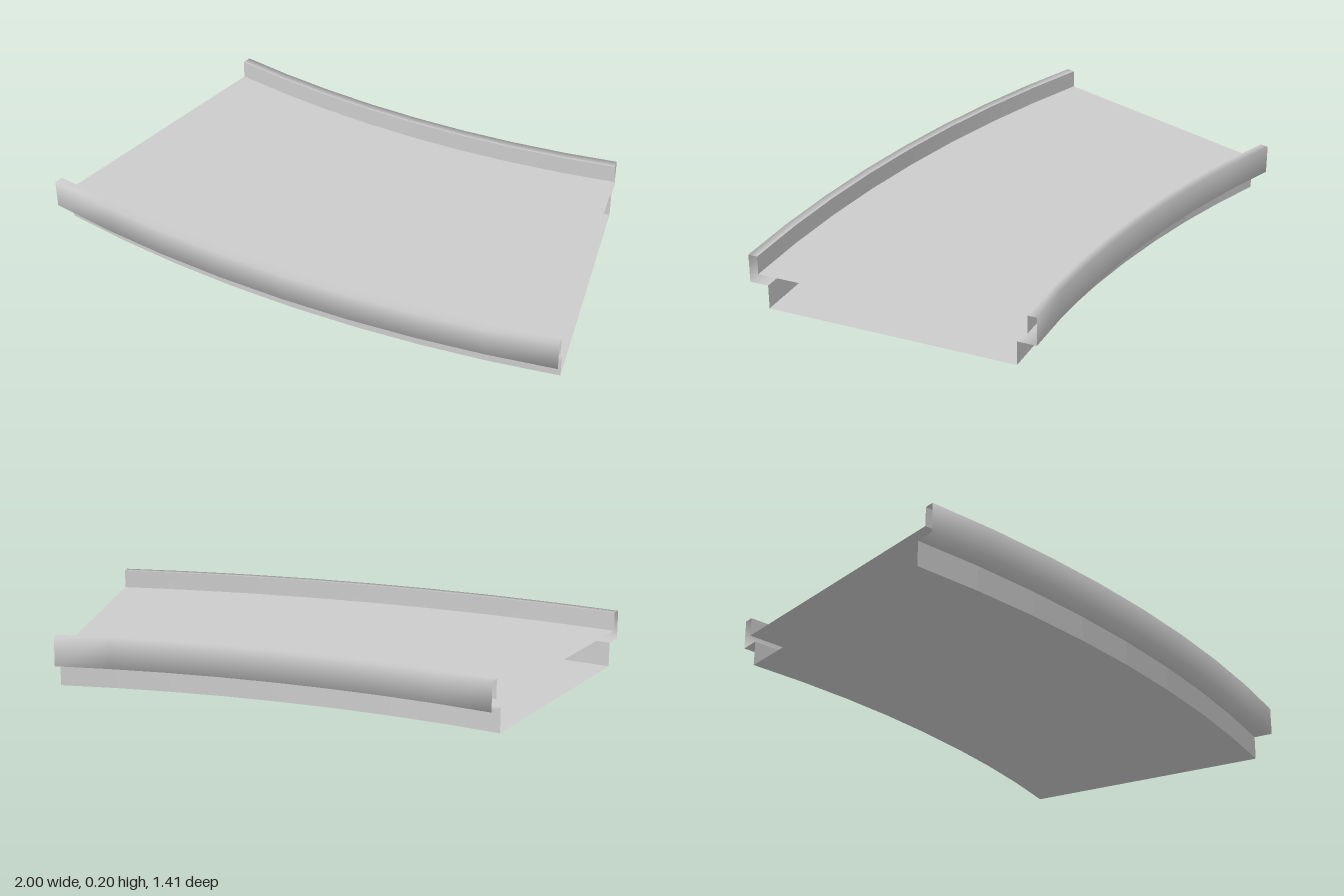
import * as THREE from 'three';

const ANGLE = Math.PI / 8, STEPS = 8;
const R_OUT = 5.226, R_IN = 4.13;                            // rail outer faces
const CENTRE_X = -1, CENTRE_Z = -(R_OUT + R_IN * Math.cos(ANGLE)) / 2;
const LIP = 0.035, INSET = 0.072;                            // lip width, base setback
const TOP = 0.2, DECK = 0.13, UNDER = 0.092;                 // heights

// Sweeps a profile of [radius, height] points round the bend; smooth along the whole strip
function sweep(profile) {
  const pos = [], index = [], n = profile.length;
  for (let i = 0; i <= STEPS; i++) {
    const a = ANGLE * i / STEPS;
    for (const [r, y] of profile) pos.push(CENTRE_X + r * Math.sin(a), y, CENTRE_Z + r * Math.cos(a));
  }
  for (let i = 0; i < STEPS; i++) {
    for (let j = 0; j < n - 1; j++) {
      const p = i * n + j, q = p + n;
      index.push(p, p + 1, q, p + 1, q + 1, q);
    }
  }
  const geo = new THREE.BufferGeometry();
  geo.setAttribute('position', new THREE.Float32BufferAttribute(pos, 3));
  geo.setIndex(index);
  geo.computeVertexNormals();
  return geo;
}

export function createModel() {
  const group = new THREE.Group();
  const smooth = new THREE.MeshStandardMaterial({ color: 0xcccccc, side: THREE.DoubleSide });
  const flat = new THREE.MeshStandardMaterial({ color: 0xcccccc, side: THREE.DoubleSide, flatShading: true });

  const add = (name, profile, material = smooth) => {
    const mesh = new THREE.Mesh(sweep(profile), material);
    mesh.name = name;
    group.add(mesh);
  };

  // Hollow channel, open at both ends: deck above, floor below
  add('deck', [[R_IN + LIP, DECK], [R_OUT - LIP, DECK]]);
  add('floor', [[R_OUT - INSET, 0], [R_IN + INSET, 0]]);

  // Each side: rounded-looking rail shell, lip face towards the deck, set-back base wall
  for (const [side, r, s] of [['outer', R_OUT, -1], ['inner', R_IN, 1]]) {
    const lip = r + s * LIP, base = r + s * INSET;
    // the inner side runs the other way so that its faces point outwards
    const order = (points) => (s < 0 ? points : points.reverse());
    add(side + 'Rail', order([[lip, TOP], [r, TOP], [r, UNDER], [base, UNDER]]));
    add(side + 'LipFace', order([[lip, DECK], [lip, TOP]]));
    add(side + 'BaseWall', order([[base, UNDER], [base, 0]]), flat);
  }
  return group;
}
